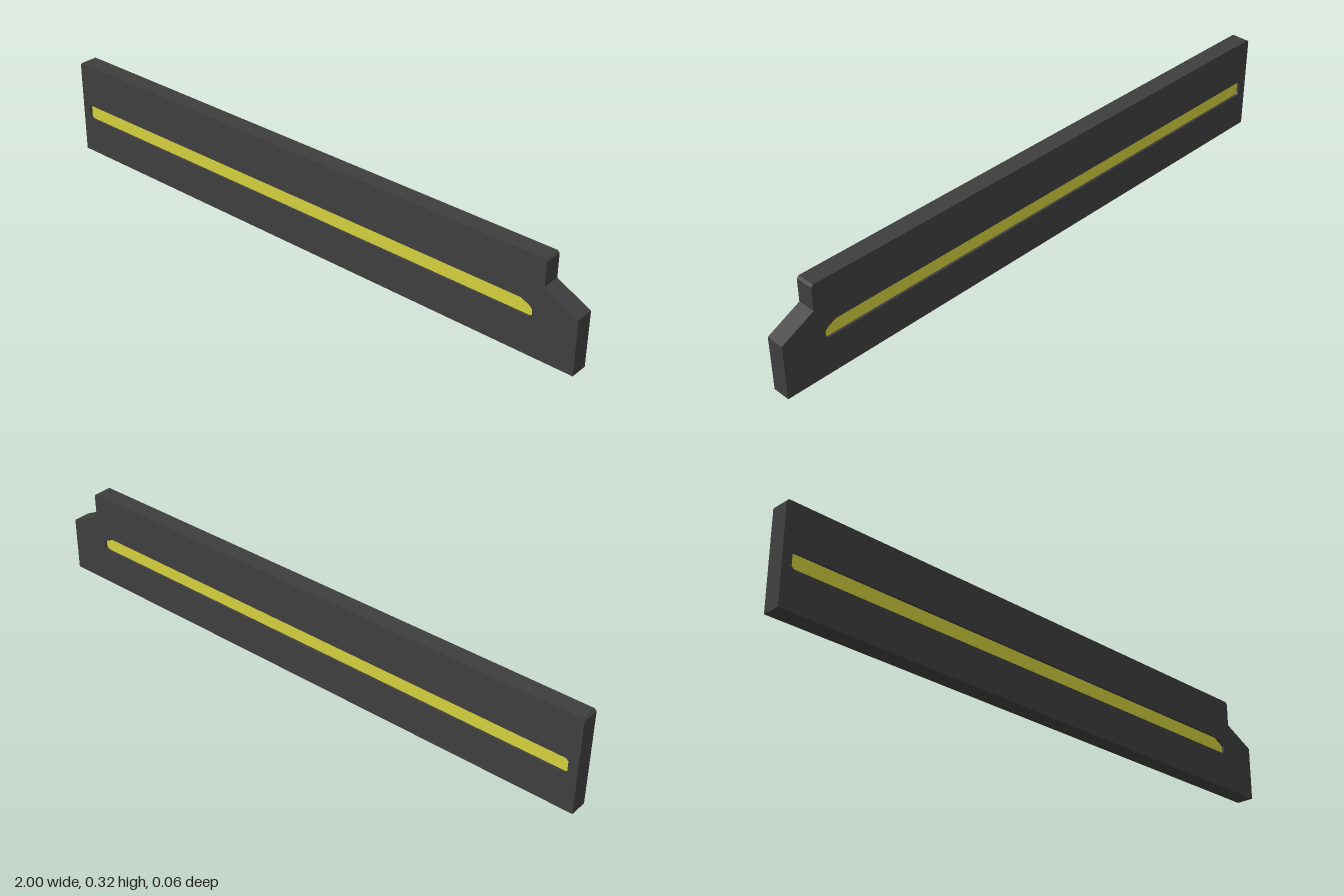
import * as THREE from 'three';

const DEPTH = 0.06; // full thickness of the plate
const RECESS = 0.008; // how far the strip sits below each face

function extrude(shape, depth) {
  const geometry = new THREE.ExtrudeGeometry(shape, { depth, bevelEnabled: false });
  geometry.translate(0, 0, -depth / 2);
  return geometry;
}

const toPoints = (list) => list.map(([x, y]) => new THREE.Vector2(x, y));

export function createModel() {
  const group = new THREE.Group();
  const charcoal = new THREE.MeshStandardMaterial({ color: 0x3e3e3e });
  charcoal.name = 'charcoal';
  const yellow = new THREE.MeshStandardMaterial({ color: 0xd2ce3c });
  yellow.name = 'yellow';

  // Long slot with clipped corners and a sloped upper right end
  const slot = toPoints([
    [-0.96, 0.125], [0.845, 0.125], [0.855, 0.133], [0.855, 0.152],
    [0.843, 0.163], [0.815, 0.175], [-0.96, 0.175], [-0.968, 0.168], [-0.968, 0.132],
  ]);

  // Plate with a stepped, sloped end and slightly clipped top corners
  const outline = new THREE.Shape(toPoints([
    [-1, 0], [1, 0], [1, 0.184], [0.887, 0.24], [0.887, 0.318],
    [0.88, 0.325], [-0.993, 0.325], [-1, 0.318],
  ]));
  outline.holes.push(new THREE.Path(slot));
  const plate = new THREE.Mesh(extrude(outline, DEPTH), charcoal);
  plate.name = 'plate';

  // Coloured strip filling the slot, recessed on both sides
  const strip = new THREE.Mesh(extrude(new THREE.Shape(slot), DEPTH - 2 * RECESS), yellow);
  strip.name = 'strip';

  group.add(plate, strip);
  return group;
}
